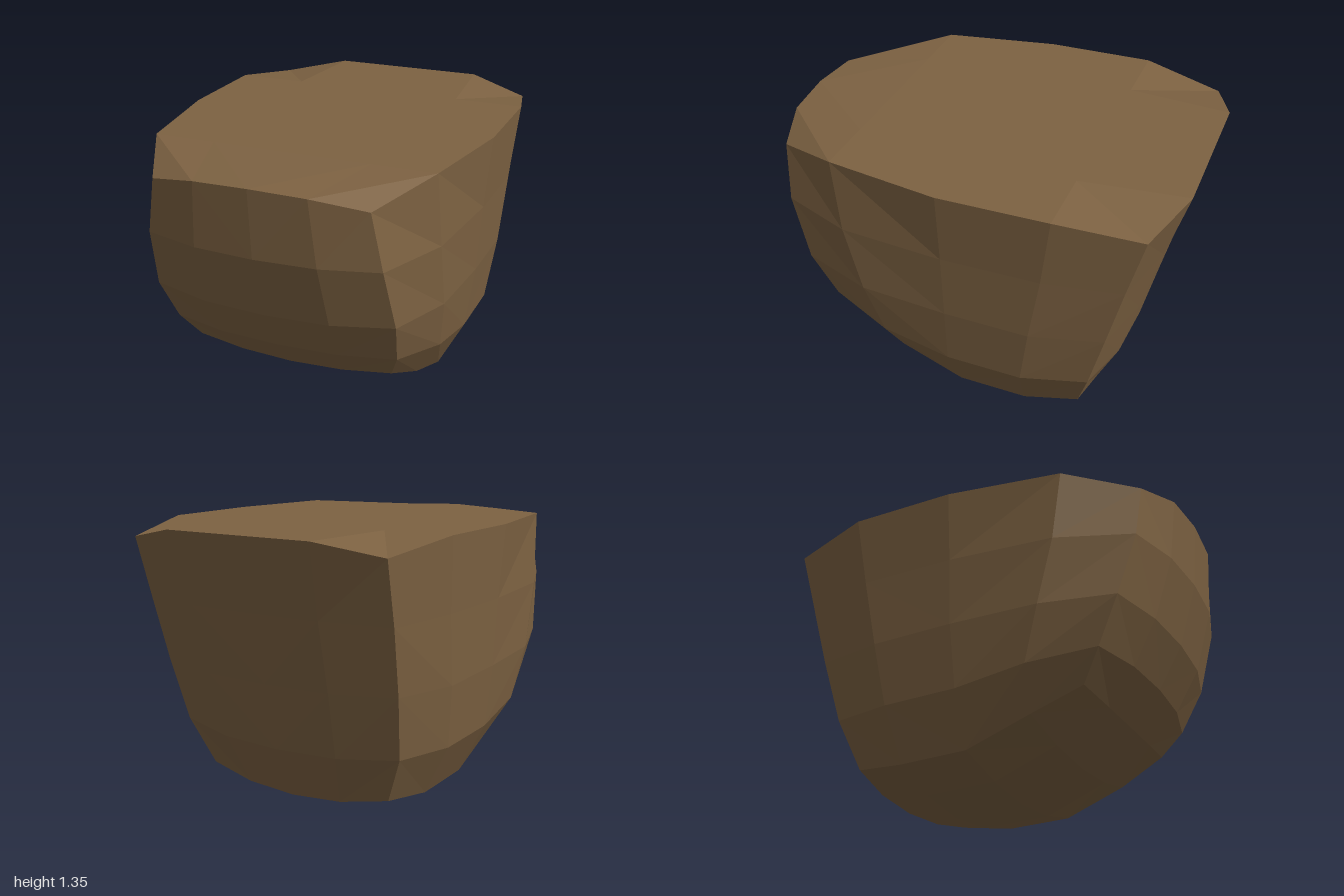
import * as THREE from 'three';

// Left-hand side wall: rows from bottom to top, each running front to back [x, y, z]
const SIDE = [
  [[0.50, 0.34, 0.58], [0.545, 0.23, 0.34], [0.555, 0.11, 0.02], [0.555, 0.10, -0.32], [0.51, 0.13, -0.58]],
  [[0.56, 0.48, 0.68], [0.665, 0.42, 0.37], [0.685, 0.36, 0.03], [0.685, 0.35, -0.34], [0.61, 0.36, -0.65]],
  [[0.59, 0.70, 0.79], [0.70, 0.68, 0.45], [0.725, 0.67, 0.02], [0.725, 0.66, -0.39], [0.65, 0.67, -0.73]],
  [[0.56, 1.00, 0.88], [0.70, 1.00, 0.53], [0.745, 1.00, 0.02], [0.745, 1.00, -0.45], [0.675, 0.99, -0.81]],
  [[0.51, 1.27, 0.90], [0.685, 1.35, 0.57], [0.775, 1.35, 0.02], [0.775, 1.35, -0.50], [0.69, 1.29, -0.89]],
];

// Centre lines [y, z, share of the edge's offset taken by the point half way out]
const FRONT = [[0.31, 0.61, 0.25], [0.48, 0.76, 0.2], [0.69, 0.88, 0.2], [1.00, 0.97, 0.2], [1.33, 0.995, 0.17]];
const BACK = [[0.07, -0.62, 0.25], [0.33, -0.74, 0.2], [0.66, -0.82, 0.15], [1.00, -0.905, 0.1], [1.35, -1.0, 0]];
const BOTTOM = [FRONT[0], [0.15, 0.35, 0.27], [0.02, 0.03, 0.27], [0.005, -0.34, 0.3], BACK[0]];
const TOP = [FRONT[4], [1.35, 0.57, 0], [1.35, 0.02, 0], [1.35, -0.5, 0], BACK[4]];

// Five points across the body, from -x to +x
function arch([x, y, z], [cy, cz, f]) {
  const mid = (f === 0 ? 0.56 : 0.52) * x;
  const my = cy + (y - cy) * f, mz = cz + (z - cz) * f;
  return [[-x, y, z], [-mid, my, mz], [0, cy, cz], [mid, my, mz], [x, y, z]];
}

// Facets of one grid of points; diagonals mirror across the middle column
function facets(rows, out) {
  for (let i = 0; i < rows.length - 1; i++) {
    for (let j = 0; j < rows[i].length - 1; j++) {
      const a = rows[i][j], b = rows[i][j + 1], c = rows[i + 1][j + 1], d = rows[i + 1][j];
      const tris = j < 2 ? [a, b, d, b, c, d] : [a, b, c, a, c, d];
      for (const p of tris) out.push(...p);
    }
  }
}

export function createModel() {
  const flip = rows => rows.map(r => [...r].reverse());
  const across = (edges, centres) => edges.map((e, i) => arch(e, centres[i]));
  const mirrored = SIDE.map(r => r.map(([x, y, z]) => [-x, y, z]));

  const pos = [];
  facets(across(SIDE.map(r => r[0]), FRONT), pos);
  facets(flip(across(SIDE.map(r => r[4]), BACK)), pos);
  facets(across(SIDE[4], TOP), pos);
  facets(flip(across(SIDE[0], BOTTOM)), pos);
  facets(SIDE, pos);
  facets(flip(mirrored), pos);

  const geometry = new THREE.BufferGeometry();
  geometry.setAttribute('position', new THREE.Float32BufferAttribute(pos, 3));
  geometry.computeVertexNormals();

  // Faceted solid body
  const body = new THREE.Mesh(geometry, new THREE.MeshStandardMaterial({ color: 0x7d6242, flatShading: true }));
  body.name = 'body';

  const group = new THREE.Group();
  group.name = 'facetedBlock';
  group.add(body);
  return group;
}
